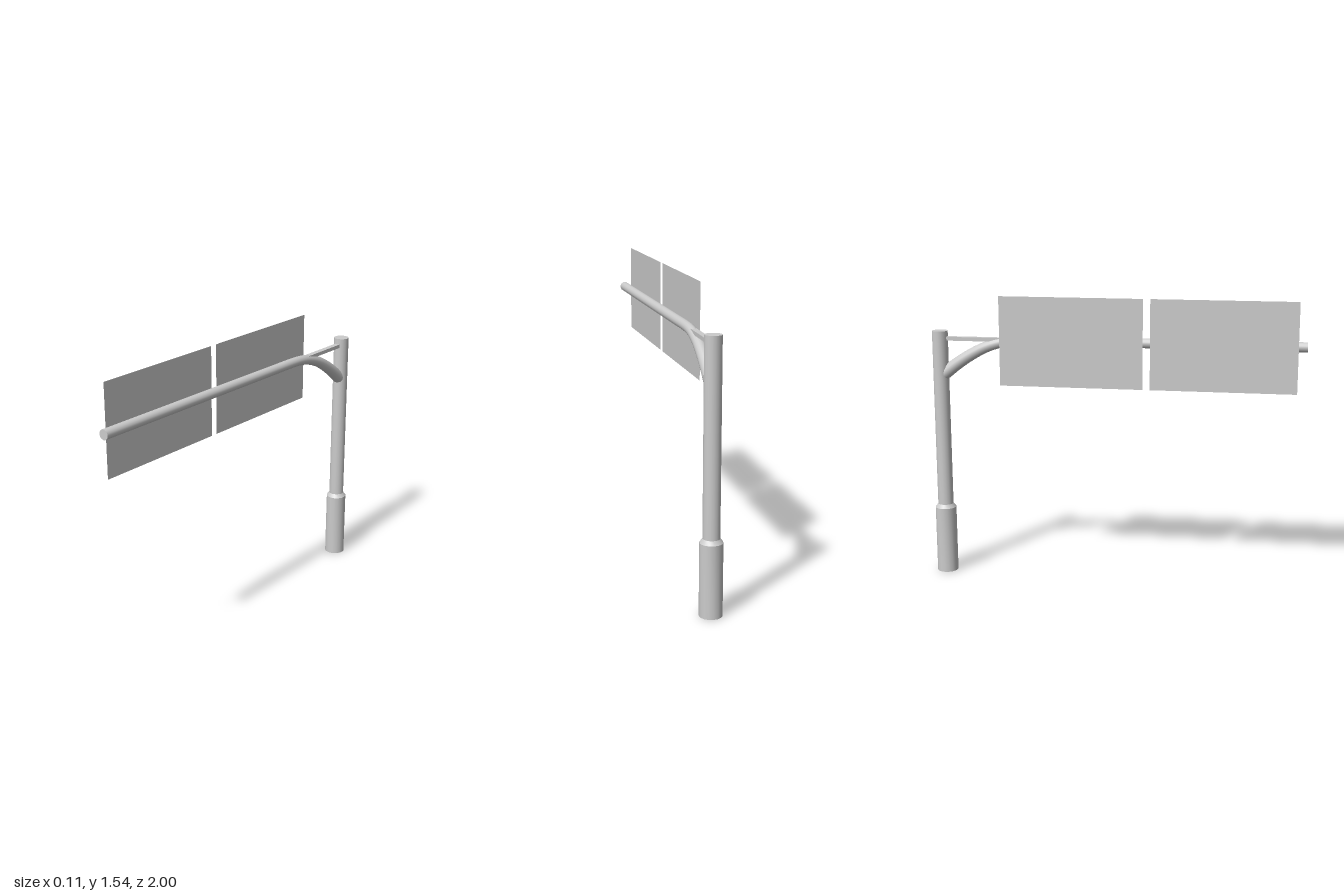
import * as THREE from 'three';
import { toCreasedNormals } from 'three/addons/utils/BufferGeometryUtils.js';

const grey = new THREE.MeshStandardMaterial({ color: 0xcccccc });
const sheet = new THREE.MeshStandardMaterial({ color: 0xcccccc, side: THREE.DoubleSide });
const POLE_Z = -0.943;

function part(name, geometry, material = grey) {
  const mesh = new THREE.Mesh(geometry, material);
  mesh.name = name;
  return mesh;
}

// Upright turned from a [radius, height] profile
function turned(profile) {
  const points = profile.map(([r, y]) => new THREE.Vector2(r, y));
  return toCreasedNormals(new THREE.LatheGeometry(points, 16), 0.6);
}

// Round arm through [z, y, radius] stations: a tube whose rings are rescaled
function taperedArm(stations, steps, sides) {
  const path = new THREE.CatmullRomCurve3(stations.map(([z, y]) => new THREE.Vector3(0, y, z)));
  const geometry = new THREE.TubeGeometry(path, steps, 1, sides);
  const pos = geometry.attributes.position;
  const v = new THREE.Vector3();
  for (let i = 0; i <= steps; i++) {
    const centre = path.getPointAt(i / steps);
    // radius depends on how far back the ring sits
    let k = 0;
    while (k < stations.length - 2 && centre.z < stations[k + 1][0]) k++;
    const [z0, , r0] = stations[k];
    const [z1, , r1] = stations[k + 1];
    const radius = THREE.MathUtils.mapLinear(centre.z, z0, z1, r0, r1);
    for (let j = 0; j <= sides; j++) {
      const n = i * (sides + 1) + j;
      v.fromBufferAttribute(pos, n).sub(centre).multiplyScalar(radius).add(centre);
      pos.setXYZ(n, v.x, v.y, v.z);
    }
  }
  return geometry;
}

export function createModel() {
  const model = new THREE.Group();
  model.name = 'roadSignGantry';

  // Post with its thicker, chamfered foot
  const post = part('post', turned([
    [0, 0], [0.057, 0], [0.057, 0.365], [0.042, 0.385], [0.042, 1.345], [0, 1.345],
  ]));
  post.position.z = POLE_Z;
  model.add(post);

  // Beam that bends down and thickens into the post
  model.add(part('beam', taperedArm([
    [1, 1.304, 0.026], [0.3, 1.304, 0.026], [-0.3, 1.304, 0.026], [-0.45, 1.304, 0.026],
    [-0.53, 1.301, 0.026], [-0.6, 1.291, 0.027], [-0.69, 1.263, 0.029],
    [-0.77, 1.222, 0.031], [-0.85, 1.17, 0.033], [-0.925, 1.112, 0.035],
  ], 64, 16)));
  const cap = part('beamEnd', new THREE.CircleGeometry(0.026, 16));
  cap.position.set(0, 1.304, 1);
  model.add(cap);

  // Straight brace from the bend to the post
  const brace = part('brace', new THREE.BoxGeometry(0.03, 0.02, 0.33));
  brace.position.set(0, 1.304, -0.755);
  model.add(brace);

  // Two thin sign panels side by side
  for (const [name, front, back] of [['frontPanel', 0.955, 0.193], ['rearPanel', 0.155, -0.61]]) {
    const panel = part(name, new THREE.PlaneGeometry(front - back, 0.476), sheet);
    panel.rotation.y = Math.PI / 2;
    panel.position.set(-0.03, 1.3, (front + back) / 2);
    model.add(panel);
  }

  return model;
}
